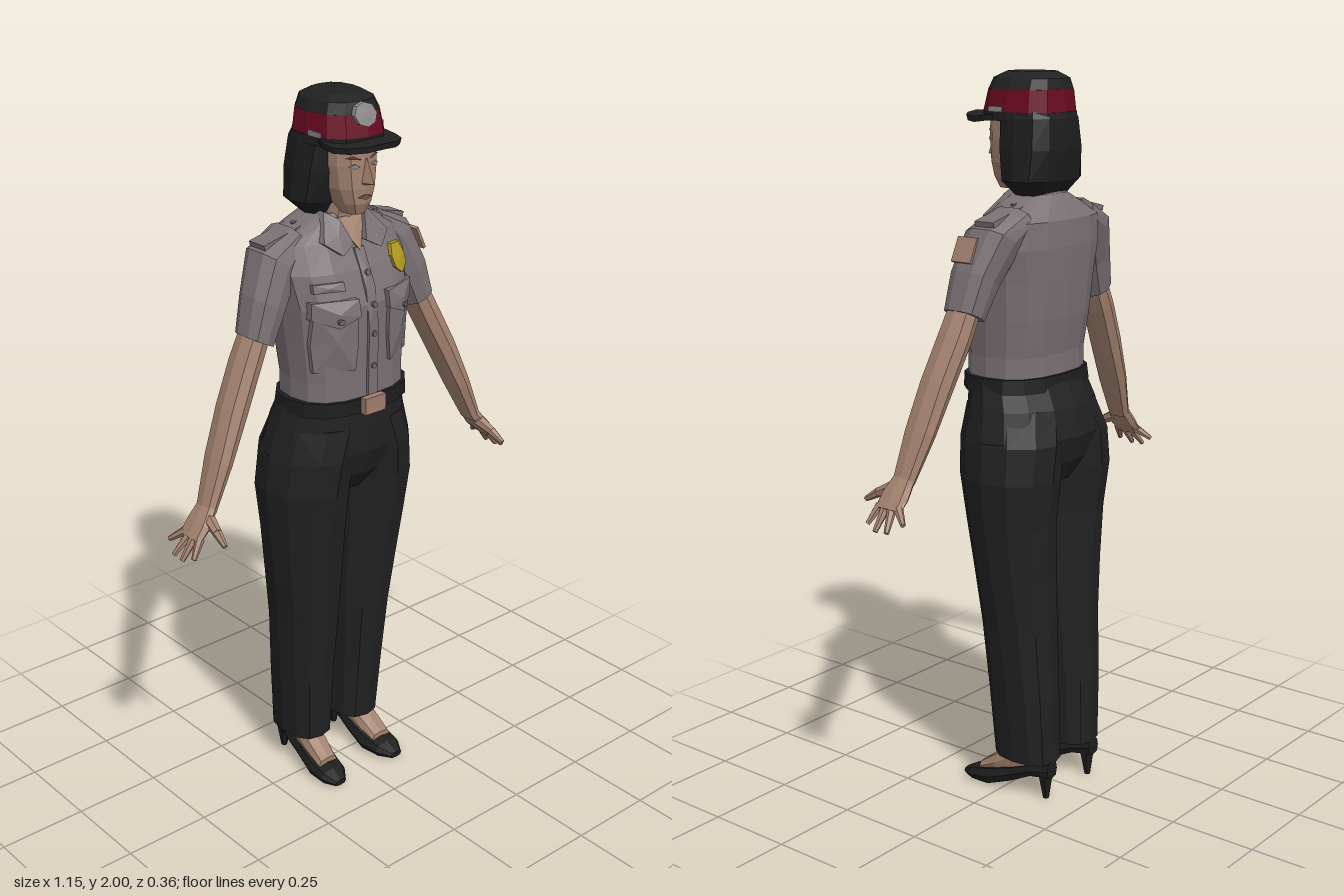
import * as THREE from 'three';
import { mergeGeometries } from 'three/addons/utils/BufferGeometryUtils.js';

const V = (x, y, z) => new THREE.Vector3(x, y, z);
const POW = 0.78; // below 1 makes rings slightly boxy
const bend = (t, pow) => Math.sign(t) * Math.abs(t) ** pow;

// Flat-shaded geometry from a list of corner points, three per triangle
function facets(pts) {
  const g = new THREE.BufferGeometry().setFromPoints(pts);
  g.computeVertexNormals();
  return g;
}

// Skin closed rings together and cap both ends
function loft(rings) {
  const out = [], n = rings[0].length;
  const centre = (r) => r.reduce((s, p) => s.add(p), V(0, 0, 0)).divideScalar(n);
  const first = rings[0], last = rings[rings.length - 1];
  const c0 = centre(first), c1 = centre(last);
  for (let i = 0; i < n; i++) {
    const j = (i + 1) % n;
    for (let k = 0; k + 1 < rings.length; k++) {
      const a = rings[k], b = rings[k + 1];
      out.push(a[i], a[j], b[j], a[i], b[j], b[i]);
    }
    out.push(first[j], first[i], c0, last[i], last[j], c1);
  }
  return facets(out);
}

// Ring around a limb, tilted in the x-y plane
const ring = (x, y, z, ru, rz, tilt = 0, n = 10, pow = POW) => Array.from({ length: n }, (_, i) => {
  const a = (i / n) * Math.PI * 2, u = bend(Math.sin(a), pow) * ru;
  return V(x + u * Math.cos(tilt), y + u * Math.sin(tilt), z + bend(Math.cos(a), pow) * rz);
});

// Body section given as [y, half width, front z, back z]
const body = (rows, n = 16, pow = POW) => loft(rows.map(([y, rx, f, b]) => ring(0, y, (f + b) / 2, rx, (f - b) / 2, 0, n, pow)));

// Front surface depth of a body section at (x, y)
function frontZ(rows, x, y) {
  let k = 0;
  while (k < rows.length - 2 && y > rows[k + 1][0]) k++;
  const t = THREE.MathUtils.clamp((y - rows[k][0]) / (rows[k + 1][0] - rows[k][0]), 0, 1);
  const [, rx, f, b] = rows[k].map((v, i) => v + (rows[k + 1][i] - v) * t);
  const s = Math.min(1, Math.abs(x) / rx) ** (1 / POW);
  return (f + b) / 2 + ((f - b) / 2) * Math.sqrt(1 - s * s) ** POW;
}

// Flat patch laid over the front of a body section; points run anticlockwise
function drape(rows, pts, off) {
  const at = (d) => pts.map(([x, y]) => V(x, y, frontZ(rows, x, y) + d));
  const front = at(off), back = at(-0.012), out = [];
  const cx = pts.reduce((s, p) => s + p[0], 0) / pts.length;
  const cy = pts.reduce((s, p) => s + p[1], 0) / pts.length;
  const c = V(cx, cy, frontZ(rows, cx, cy) + off);
  front.forEach((p, i) => {
    const j = (i + 1) % pts.length;
    out.push(c, p, front[j], back[i], back[j], front[j], back[i], front[j], p);
  });
  return facets(out);
}
const rect = (x0, x1, y0, y1) => [[x0, y0], [x1, y0], [x1, y1], [x0, y1]];
const disc = (x, y, rx, ry, n = 8, pow = 1) => Array.from({ length: n }, (_, i) => {
  const a = (i / n) * Math.PI * 2;
  return [x + rx * bend(Math.cos(a), pow), y + ry * bend(Math.sin(a), pow)];
});

// Tapered bar between two points
function bar(a, b, ra, rb) {
  const d = b.clone().sub(a);
  const g = new THREE.CylinderGeometry(rb, ra, d.length(), 6).toNonIndexed();
  g.applyQuaternion(new THREE.Quaternion().setFromUnitVectors(V(0, 1, 0), d.normalize()));
  g.translate((a.x + b.x) / 2, (a.y + b.y) / 2, (a.z + b.z) / 2);
  g.deleteAttribute('uv');
  g.computeVertexNormals();
  return g;
}

// Mirrored copy in x with its triangles turned the right way round
function mirror(g) {
  const p = g.attributes.position, out = [];
  for (let i = 0; i < p.count; i += 3)
    for (const k of [0, 2, 1]) out.push(V(-p.getX(i + k), p.getY(i + k), p.getZ(i + k)));
  return facets(out);
}

// Foot section along z: [z, half width, bottom, top]
const footLoft = (rows) => loft(rows.map(([z, w, y0, y1]) =>
  disc(0.098 + Math.max(0, z) * 0.08, (y0 + y1) / 2, w, (y1 - y0) / 2, 8, 0.7).map(([x, y]) => V(x, y, z))));

export function createModel() {
  const model = new THREE.Group();
  const mat = (name, color) => Object.assign(new THREE.MeshStandardMaterial({ color }), { name });
  const shirt = mat('shirt grey', 0x7a7174), trim = mat('shirt trim', 0x6c6467), skin = mat('skin', 0xa3826f);
  const black = mat('trouser black', 0x212121), dark = mat('hair and leather black', 0x1d1d1e);
  const crimson = mat('hat band crimson', 0x6a0a22), gold = mat('badge gold', 0xb09a1e);
  const silver = mat('emblem silver', 0x8d898b), lip = mat('lips and brows', 0x7d5a4d), buckleTan = mat('buckle', 0xa07d6e);

  const add = (name, g, m) => {
    const mesh = new THREE.Mesh(g, m);
    mesh.name = name;
    model.add(mesh);
  };
  const pair = (name, g, m) => { add('left' + name, g, m); add('right' + name, mirror(g), m); };
  const box = (w, h, d, x, y, z, tilt = 0) => {
    const g = new THREE.BoxGeometry(w, h, d).toNonIndexed().rotateZ(tilt).translate(x, y, z);
    g.deleteAttribute('uv');
    return g;
  };

  // Shirt body
  const torso = [[1.17, 0.175, 0.135, -0.115], [1.26, 0.174, 0.135, -0.115], [1.36, 0.183, 0.137, -0.13],
    [1.46, 0.193, 0.138, -0.138], [1.55, 0.205, 0.105, -0.143], [1.62, 0.195, 0.065, -0.14],
    [1.655, 0.13, 0.05, -0.12], [1.685, 0.07, 0.035, -0.1]];
  add('shirtBody', body(torso), shirt);
  add('placket', mergeGeometries([[1.19, 1.3], [1.3, 1.4], [1.4, 1.5], [1.5, 1.6]]
    .map(([a, b]) => drape(torso, rect(-0.016, 0.016, a, b), 0.007))), shirt);
  add('buttons', mergeGeometries([1.29, 1.38, 1.46, 1.54].map((y) => drape(torso, disc(0, y, 0.008, 0.008), 0.012))), trim);
  pair('Pocket', drape(torso, [[0.06, 1.29], [0.16, 1.29], [0.168, 1.37], [0.165, 1.46], [0.055, 1.46], [0.052, 1.37]], 0.009), shirt);
  pair('PocketFlap', drape(torso, [[0.05, 1.44], [0.11, 1.415], [0.172, 1.44], [0.17, 1.485], [0.05, 1.485]], 0.016), shirt);
  pair('PocketButton', drape(torso, disc(0.11, 1.435, 0.008, 0.008), 0.023), trim);
  add('nameTag', drape(torso, rect(-0.16, -0.08, 1.508, 1.53), 0.009), shirt);
  add('badge', drape(torso, [[0.127, 1.512], [0.157, 1.53], [0.155, 1.555], [0.145, 1.585], [0.108, 1.587], [0.096, 1.56], [0.102, 1.53]], 0.012), gold);

  // Collar and neck
  add('neck', loft([[1.6, -0.02, 0.055], [1.68, -0.005, 0.05], [1.76, 0.015, 0.047]]
    .map(([y, z, r]) => ring(0, y, z, r, r))), skin);
  add('throat', drape(torso, [[0, 1.592], [0.05, 1.675], [-0.05, 1.675]], 0.009), skin);
  add('collarStand', loft([ring(0, 1.64, -0.04, 0.1, 0.075), ring(0, 1.69, -0.045, 0.068, 0.052)]), shirt);
  pair('Collar', drape(torso, [[0.022, 1.615], [0.065, 1.592], [0.108, 1.625], [0.066, 1.692], [0.042, 1.675]], 0.02), shirt);

  // Sleeves, epaulettes and arm patch
  pair('Sleeve', loft([[0.279, 1.388, -0.006, 0.044, 0.055, 0.47], [0.244, 1.48, -0.014, 0.055, 0.064, 0.5],
    [0.196, 1.576, -0.034, 0.062, 0.074, 0.62], [0.13, 1.62, -0.045, 0.042, 0.072, 1.2]].map((r) => ring(...r))), shirt);
  pair('Epaulette', box(0.135, 0.014, 0.062, 0.172, 1.638, -0.04, -0.24), shirt);
  pair('EpauletteButton', bar(V(0.115, 1.65, -0.04), V(0.118, 1.664, -0.04), 0.008, 0.008), trim);
  add('armPatch', box(0.009, 0.068, 0.064, 0.27, 1.557, -0.003, 0.45), buckleTan);

  // Arms and hands
  pair('Arm', loft([[0.478, 0.98, 0.034, 0.019, 0.033], [0.425, 1.1, 0.022, 0.028, 0.045], [0.37, 1.22, 0.01, 0.035, 0.046],
    [0.315, 1.33, -0.002, 0.036, 0.046], [0.265, 1.43, -0.008, 0.034, 0.042]].map((r) => ring(...r, 0.47, 8))), skin);
  const fingers = [[-0.03, 0.553, 0.895], [0.012, 0.57, 0.87], [0.05, 0.572, 0.868], [0.086, 0.56, 0.88]];
  pair('Hand', mergeGeometries([
    loft([[0.534, 0.918, 0.038, 0.013, 0.044], [0.505, 0.95, 0.038, 0.019, 0.044], [0.474, 0.99, 0.034, 0.018, 0.033]]
      .map((r) => ring(...r, 0.6, 8))),
    ...fingers.map(([z, x, y], i) => bar(V(0.528, 0.925, 0.008 + i * 0.021), V(x, y, z), 0.013, 0.007)),
    bar(V(0.488, 0.968, 0.055), V(0.497, 0.945, 0.105), 0.018, 0.013),
    bar(V(0.497, 0.945, 0.105), V(0.502, 0.922, 0.145), 0.013, 0.007),
  ]), skin);

  // Trouser legs: [y, inner x, outer x, front z, back z]; rounder towards the hips
  const legs = [[0.11, 0.02, 0.158, 0.03, -0.16], [0.3, 0.015, 0.172, 0.045, -0.157], [0.5, 0.004, 0.187, 0.065, -0.148],
    [0.65, -0.004, 0.207, 0.083, -0.146], [0.8, -0.008, 0.225, 0.104, -0.15], [0.93, -0.015, 0.239, 0.124, -0.168],
    [1.03, -0.03, 0.229, 0.134, -0.17], [1.12, -0.06, 0.204, 0.132, -0.145]];
  pair('TrouserLeg', loft(legs.map(([y, a, b, f, k], i) =>
    ring((a + b) / 2, y, (f + k) / 2, (b - a) / 2, (f - k) / 2, 0, 12, 0.8 + i * 0.045))), black);
  // Hips narrow downwards so that they blend into the legs
  add('trouserHips', body([[0.91, 0.16, 0.07, -0.12], [0.97, 0.205, 0.115, -0.158], [1.04, 0.228, 0.138, -0.177],
    [1.12, 0.208, 0.141, -0.158], [1.2, 0.188, 0.14, -0.12]], 16, 1), black);

  // Belt
  add('belt', body([[1.165, 0.194, 0.147, -0.13], [1.205, 0.19, 0.147, -0.125]], 16, 0.85), dark);
  add('buckle', box(0.07, 0.046, 0.02, -0.008, 1.187, 0.153), buckleTan);

  // Heeled shoes
  pair('Instep', footLoft([[-0.13, 0.022, 0.08, 0.15], [-0.03, 0.034, 0.06, 0.15], [0.02, 0.037, 0.04, 0.105], [0.075, 0.033, 0.03, 0.064]]), skin);
  pair('Shoe', footLoft([[-0.158, 0.022, 0.065, 0.115], [-0.1, 0.034, 0.06, 0.1], [-0.03, 0.04, 0.025, 0.075],
    [0.04, 0.052, 0, 0.058], [0.1, 0.045, 0, 0.042], [0.138, 0.02, 0.004, 0.022]]), dark);
  pair('Heel', bar(V(0.098, 0, -0.137), V(0.098, 0.085, -0.135), 0.009, 0.024), dark);

  // Head and face
  const face = [[1.69, 0.028, 0.092, 0], [1.72, 0.047, 0.105, -0.04], [1.76, 0.065, 0.108, -0.06],
    [1.82, 0.074, 0.108, -0.06], [1.89, 0.074, 0.106, -0.06]];
  add('head', body(face, 12), skin);
  add('nose', loft([[1.768, 0.012, 0.1], [1.776, 0.017, 0.14], [1.8, 0.012, 0.13], [1.838, 0.008, 0.112]]
    .map(([y, w, z]) => [V(0, y, z), V(w, y, 0.09), V(-w, y, 0.09)])), skin);
  add('lips', drape(face, [[-0.022, 1.738], [0, 1.731], [0.022, 1.738], [0, 1.745]], 0.004), lip);
  pair('Eye', drape(face, [[0.02, 1.82], [0.034, 1.814], [0.048, 1.82], [0.034, 1.827]], 0.003), silver);
  pair('Eyebrow', drape(face, [[0.016, 1.837], [0.052, 1.842], [0.036, 1.847]], 0.003), lip);

  // Bobbed hair
  add('hair', body([[1.68, 0.08, 0.01, -0.09], [1.72, 0.127, 0.035, -0.118], [1.8, 0.119, 0.054, -0.13],
    [1.88, 0.106, 0.06, -0.124], [1.91, 0.09, 0.05, -0.11]], 12), dark);

  // Peaked hat
  const band = [[1.895, 0.106, 0.118, -0.12], [1.952, 0.097, 0.104, -0.115]];
  const crown = [[1.952, 0.0965, 0.103, -0.114], [1.98, 0.083, 0.092, -0.108], [1.997, 0.055, 0.055, -0.075]];
  add('hatBase', body([[1.872, 0.107, 0.115, -0.124], [1.895, 0.107, 0.118, -0.122]], 12), black);
  add('hatBand', body(band, 12), crimson);
  add('hatCrown', body(crown, 12), black);
  // Brim dips towards its sides and comes to a soft point
  add('hatBrim', loft([[1.874, 0.004], [1.89, 0]].map(([y, o]) => ring(0, y, 0.08, 0.11 - o, 0.1 - o, 0, 14, 0.95)
    .map((p) => V(p.x, p.y + (p.z < 0.1 ? 0.006 : 0) - Math.abs(p.x) * 0.08, p.z)))), black);
  add('hatEmblem', drape([...band, ...crown.slice(1)], disc(-0.003, 1.95, 0.036, 0.03), 0.009), silver);
  pair('HatStrapEnd', box(0.006, 0.014, 0.045, 0.105, 1.902, 0.03), silver);
  return model;
}
